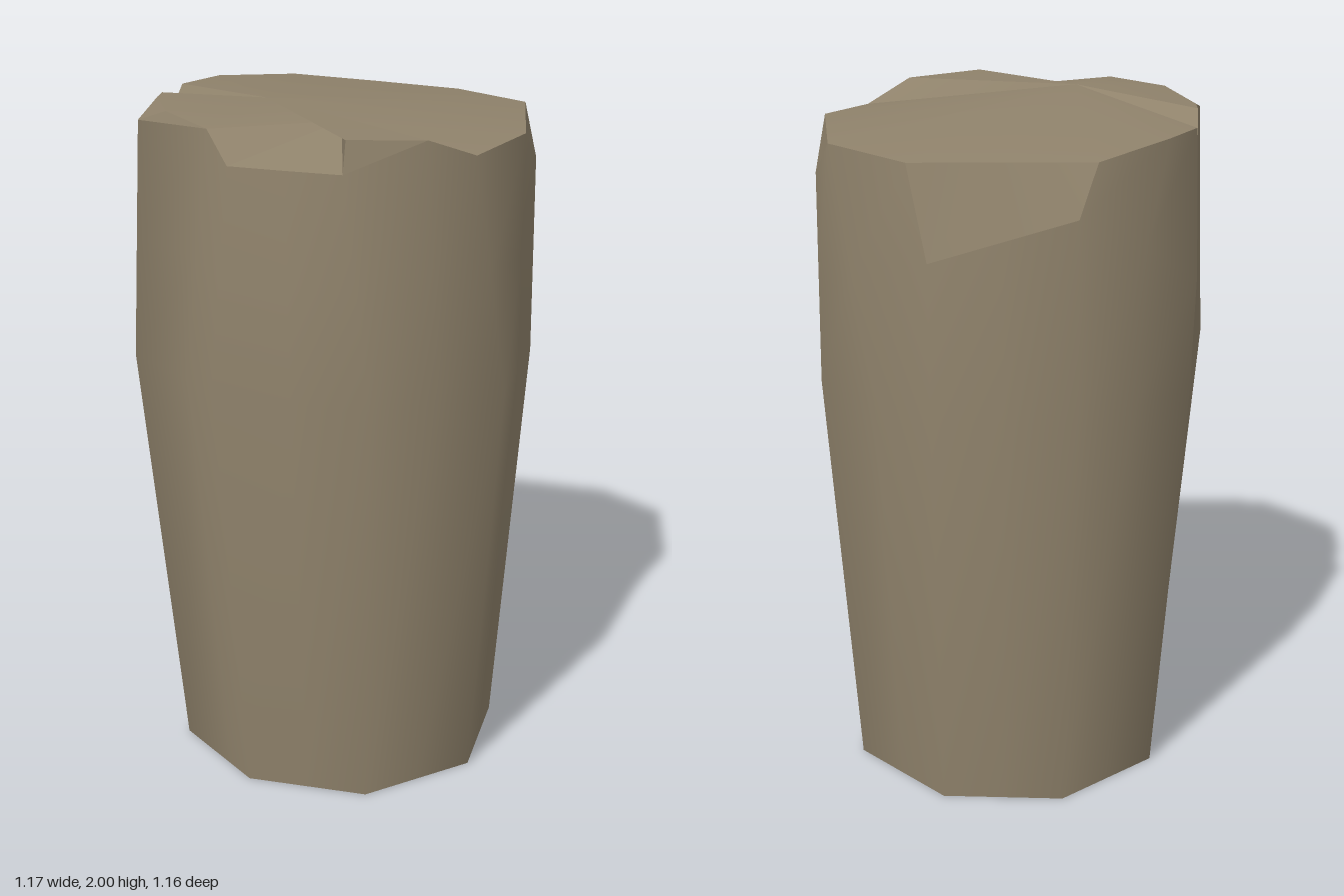
import * as THREE from 'three';
import { toCreasedNormals } from 'three/addons/utils/BufferGeometryUtils.js';

// Eight corners (x, y, z) running from +x by way of +z
const base = [[0.485, 0, -0.02], [0.34, 0, 0.335], [0, 0, 0.475], [-0.335, 0, 0.335],
  [-0.46, 0, 0], [-0.335, 0, -0.335], [0, 0, -0.47], [0.345, 0, -0.34]];
const belly = [[0.575, 1.2, -0.04], [0.4, 1.2, 0.41], [-0.015, 1.22, 0.58], [-0.43, 1.24, 0.41],
  [-0.59, 1.26, -0.01], [-0.42, 1.24, -0.43], [0.005, 1.2, -0.57], [0.425, 1.2, -0.415]];

// Broken rim: corner position, rim point, optional shoulder point below it
const columns = [
  [0, [0.55, 1.91, 0.04], [0.585, 1.65, -0.04]],
  [0.5, [0.48, 1.92, 0.32]],
  [1, [0.35, 1.8, 0.44]],
  [1.5, [0.15, 1.92, 0.525]],
  [2, [-0.09, 1.905, 0.52]],
  [2.5, [-0.23, 1.965, 0.455]],
  [3, [-0.41, 1.885, 0.305]],
  [3.5, [-0.47, 1.887, 0.158]],
  [4, [-0.53, 1.89, 0.01]],
  [4.3, [-0.49, 1.97, -0.09]],
  [5, [-0.39, 1.93, -0.42]],
  [5.5, [-0.25, 1.965, -0.465]],
  [5.65, [-0.2, 1.965, -0.49]],
  [5.8, [-0.12, 1.89, -0.525]],
  [6, [-0.025, 1.95, -0.56], [0.01, 1.53, -0.585]],
  [6.5, [0.13, 1.95, -0.545], [0.2, 1.66, -0.515]],
  [7, [0.375, 1.925, -0.445], [0.44, 1.78, -0.42]],
  [7.5, [0.465, 1.918, -0.2], [0.512, 1.715, -0.23]],
];

const mix = (a, b, t) => a.map((v, i) => v + (b[i] - v) * t);
const around = (ring, k) => mix(ring[Math.floor(k) % 8], ring[(Math.floor(k) + 1) % 8], k % 1);

// Smooth tapering wall, open underneath
function makeWall() {
  const positions = [], normals = [], index = [];
  const lean = [-0.08, 0, 0.06, 0.1];
  columns.forEach(([k, rim, shoulder], c) => {
    const middle = around(belly, k);
    const rows = [around(base, k), middle, shoulder || mix(middle, rim, 0.5), rim];
    rows.forEach((p, r) => {
      positions.push(...p);
      normals.push(...new THREE.Vector3(p[0], 0, p[2]).normalize().setY(lean[r]).normalize().toArray());
      const chipped = c >= 16 && r === 2;
      if (r === 3 || chipped) return;
      const a = c * 4 + r, b = ((c + 1) % columns.length) * 4 + r;
      index.push(a, a + 1, b, b, a + 1, b + 1);
    });
  });
  const g = new THREE.BufferGeometry();
  g.setAttribute('position', new THREE.Float32BufferAttribute(positions, 3));
  g.setAttribute('normal', new THREE.Float32BufferAttribute(normals, 3));
  g.setIndex(index);
  return g;
}

// Each fan is a hub followed by its outer points
function makeFans(fans) {
  const positions = [];
  for (const [hub, ...pts] of fans)
    for (let i = 0; i < pts.length - 1; i++) positions.push(...hub, ...pts[i + 1], ...pts[i]);
  const g = new THREE.BufferGeometry();
  g.setAttribute('position', new THREE.Float32BufferAttribute(positions, 3));
  return toCreasedNormals(g, 0.3);
}

export function createModel() {
  const group = new THREE.Group();
  group.name = 'brokenPillar';
  const stone = new THREE.MeshStandardMaterial({ color: 0x8f826b, side: THREE.DoubleSide });
  stone.name = 'brownStone';
  const add = (name, geometry) => {
    const mesh = new THREE.Mesh(geometry, stone);
    mesh.name = name;
    group.add(mesh);
  };

  const rim = columns.map((c) => c[1]);
  const peak = [-0.2, 2, -0.11], shelfTip = [-0.2, 1.97, 0.15];
  const stepTop = [-0.39, 1.975, 0.3], backCrest = [-0.41, 1.975, -0.3];

  add('wall', makeWall());
  // Main top surface
  add('top', makeFans([
    [peak, rim[14], rim[15], rim[16], rim[17], rim[0], rim[1], rim[3], rim[4], rim[5], stepTop,
      shelfTip, rim[9], backCrest, rim[11], rim[12]],
  ]));
  // Sunken shelf and its step
  add('shelf', makeFans([[shelfTip, rim[6], rim[7], rim[8], rim[9]]]));
  add('shelfStep', makeFans([[shelfTip, stepTop, rim[6]], [stepTop, rim[5], rim[6]]]));
  // Wedge-shaped crack at the back
  add('crack', makeFans([[peak, rim[12], rim[13], rim[14]]]));
  // Chipped corners
  add('frontChip', makeFans([[rim[2], rim[3], rim[1]]]));
  add('backChip', makeFans([[backCrest, rim[9], rim[10], rim[11]]]));
  const [s7, s75, s0] = [columns[16][2], columns[17][2], columns[0][2]];
  add('sideChip', makeFans([[rim[17], rim[0], s0, s75, s7, rim[16]]]));
  return group;
}
